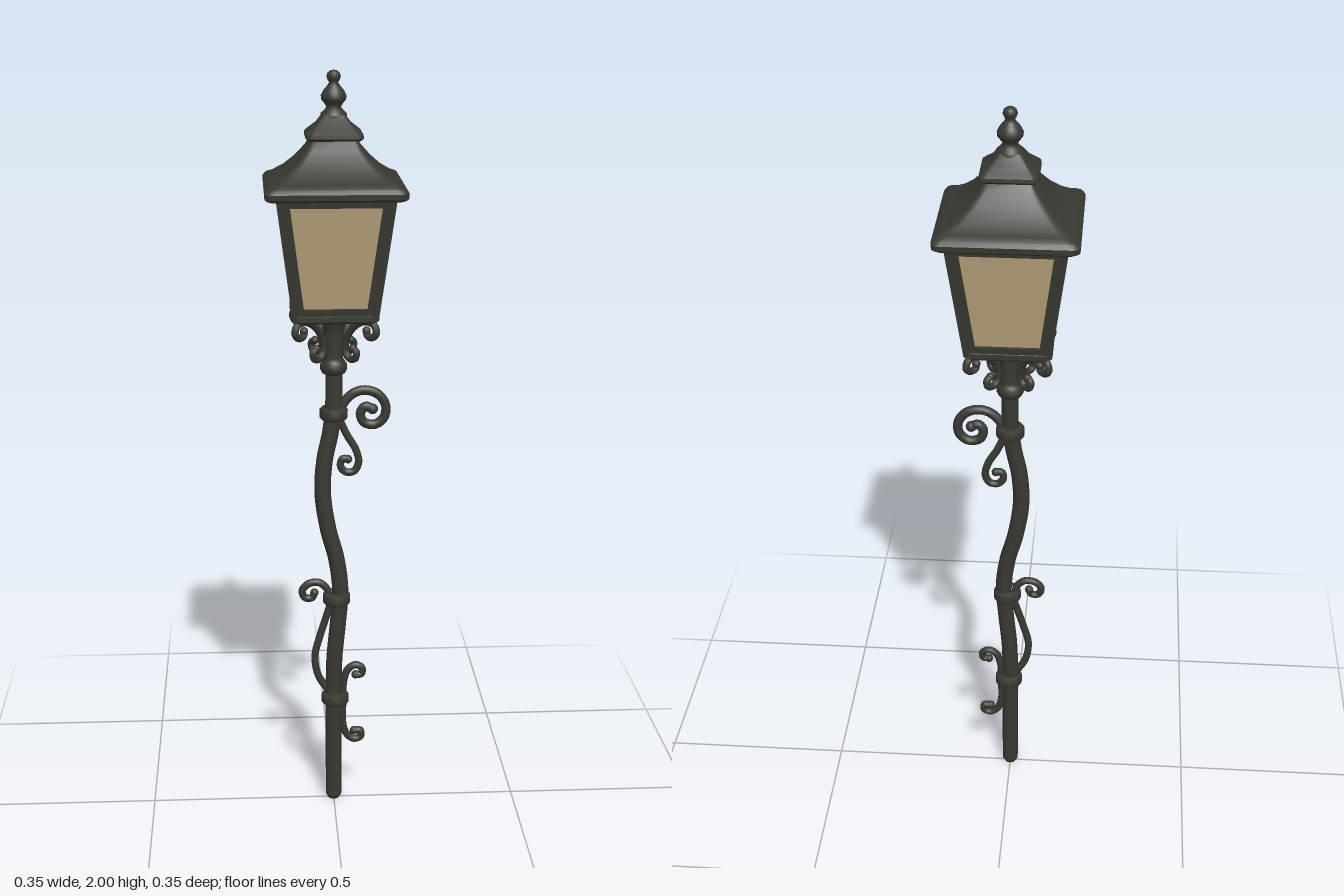
import * as THREE from 'three';
import { toCreasedNormals } from 'three/addons/utils/BufferGeometryUtils.js';

const iron = new THREE.MeshStandardMaterial({ color: 0x383931 });
iron.name = 'dark iron';
const glass = new THREE.MeshStandardMaterial({ color: 0xb59f79 });
glass.name = 'amber glass';

function add(parent, name, geometry, material = iron) {
  const mesh = new THREE.Mesh(geometry, material);
  mesh.name = name;
  parent.add(mesh);
  return mesh;
}

// Rounded-square cross-sections stacked along a [half width, y] profile
function squareLoft(profile) {
  const pos = [], index = [], steps = 4, n = 4 * (steps + 1);
  for (const [h, y] of profile) {
    const r = Math.min(0.02, h * 0.22);
    for (let k = 0; k < 4; k++) {
      const mid = (k + 0.5) * Math.PI / 2;
      for (let s = 0; s <= steps; s++) {
        const a = (k + s / steps) * Math.PI / 2;
        pos.push(Math.sign(Math.cos(mid)) * (h - r) + Math.cos(a) * r, y,
          Math.sign(Math.sin(mid)) * (h - r) + Math.sin(a) * r);
      }
    }
  }
  for (let j = 0; j < profile.length - 1; j++) {
    for (let i = 0; i < n; i++) {
      const a = j * n + i, b = j * n + (i + 1) % n;
      index.push(a, a + n, b, b, a + n, b + n);
    }
  }
  const g = new THREE.BufferGeometry();
  g.setAttribute('position', new THREE.Float32BufferAttribute(pos, 3));
  g.setIndex(index);
  return toCreasedNormals(g, 0.6);
}

function lathe(points, segments = 28) {
  return new THREE.LatheGeometry(points.map(([r, y]) => new THREE.Vector2(r, y)), segments);
}

// Round bar through flat points, with ball ends
function scroll(parent, name, points, radius) {
  const group = new THREE.Group();
  group.name = name;
  const path = points.map(([x, y]) => new THREE.Vector3(x, y, 0));
  const curve = new THREE.CatmullRomCurve3(path, false, 'centripetal');
  add(group, 'scrollBar', new THREE.TubeGeometry(curve, points.length * 8, radius, 10));
  for (const end of [path[0], path[path.length - 1]]) {
    add(group, 'scrollEnd', new THREE.SphereGeometry(radius * 1.15, 12, 8)).position.copy(end);
  }
  parent.add(group);
  return group;
}

export function createModel() {
  const model = new THREE.Group();
  model.name = 'streetLamp';

  // Bent pole
  const polePath = [[0, 0.012], [0, 0.15], [0, 0.3], [0.002, 0.42], [0.012, 0.53], [0.018, 0.62], [0.008, 0.71],
    [-0.015, 0.8], [-0.029, 0.9], [-0.024, 0.99], [-0.008, 1.07], [0, 1.15], [0, 1.27]];
  const poleCurve = new THREE.CatmullRomCurve3(polePath.map(([x, y]) => new THREE.Vector3(x, y, 0)));
  add(model, 'pole', new THREE.TubeGeometry(poleCurve, 90, 0.022, 16));
  add(model, 'poleFoot', lathe([[0, 0], [0.015, 0], [0.022, 0.012]], 16));

  // Collars around the pole
  for (const [x, y] of [[0.004, 0.305], [0.008, 0.6], [0, 1.12]]) {
    const collar = add(model, 'collar', lathe([[0.02, -0.016], [0.032, -0.016], [0.037, -0.01],
      [0.037, 0.01], [0.032, 0.016], [0.02, 0.016]]));
    collar.position.set(x, y, 0);
  }

  // Neck under the lantern
  add(model, 'neck', lathe([[0.02, 1.225], [0.03, 1.23], [0.035, 1.24], [0.035, 1.253], [0.029, 1.262],
    [0.024, 1.27], [0.027, 1.29], [0.026, 1.33], [0.03, 1.36], [0.045, 1.385], [0, 1.387]]));

  // Scrollwork along the pole
  scroll(model, 'upperLargeScroll', [[0.012, 1.12], [0.03, 1.153], [0.055, 1.175], [0.085, 1.181], [0.117, 1.169],
    [0.136, 1.14], [0.132, 1.107], [0.108, 1.088], [0.08, 1.094], [0.07, 1.118], [0.083, 1.137], [0.102, 1.13]], 0.0125);
  scroll(model, 'upperHangingScroll', [[0.012, 1.11], [0.035, 1.06], [0.058, 1.02], [0.066, 0.985],
    [0.054, 0.96], [0.032, 0.958], [0.018, 0.975], [0.024, 0.994], [0.038, 0.993]], 0.01);
  scroll(model, 'middleScroll', [[-0.012, 0.6], [-0.018, 0.626], [-0.04, 0.645], [-0.068, 0.642],
    [-0.085, 0.622], [-0.077, 0.602], [-0.058, 0.602], [-0.052, 0.616]], 0.01);
  scroll(model, 'middleBow', [[-0.006, 0.59], [-0.02, 0.545], [-0.037, 0.49], [-0.051, 0.43],
    [-0.043, 0.375], [-0.02, 0.335], [0, 0.31]], 0.01);
  scroll(model, 'lowerRisingScroll', [[0.026, 0.3], [0.028, 0.355], [0.039, 0.388], [0.06, 0.401],
    [0.078, 0.391], [0.076, 0.374], [0.06, 0.372]], 0.01);
  scroll(model, 'lowerHangingScroll', [[0.026, 0.31], [0.026, 0.225], [0.036, 0.193], [0.056, 0.178],
    [0.075, 0.185], [0.074, 0.203], [0.056, 0.203]], 0.01);

  // Scrolled brackets towards the four lantern corners
  for (let i = 0; i < 4; i++) {
    const bracket = scroll(model, 'cornerBracket', [[0.112, 1.359], [0.115, 1.346], [0.132, 1.344], [0.145, 1.358],
      [0.138, 1.376], [0.115, 1.382], [0.085, 1.373], [0.058, 1.35], [0.042, 1.318], [0.042, 1.29],
      [0.056, 1.276], [0.074, 1.28], [0.078, 1.297], [0.066, 1.305]], 0.0095);
    bracket.rotation.y = Math.PI / 4 + i * Math.PI / 2;
  }

  // Lantern floor
  add(model, 'lanternFloor', squareLoft([[0, 1.382], [0.104, 1.382], [0.111, 1.388],
    [0.111, 1.402], [0.104, 1.408], [0, 1.408]]));

  // Four sloping sides: frame with one pane each
  const low = 0.108, high = 0.15, y0 = 1.39, rise = 0.32;
  const slant = Math.hypot(rise, high - low);
  const trapezoid = (b, t, y1, y2) => [[-b, y1], [b, y1], [t, y2], [-t, y2]].map(([x, y]) => new THREE.Vector2(x, y));
  const opening = trapezoid(0.08, 0.114, 0.03, slant - 0.03);
  const frameShape = new THREE.Shape(trapezoid(low, high, 0, slant));
  frameShape.holes.push(new THREE.Path(opening));
  for (let i = 0; i < 4; i++) {
    const side = new THREE.Group();
    side.name = 'lanternSide';
    side.rotation.y = i * Math.PI / 2;
    const panel = new THREE.Group();
    panel.name = 'sidePanel';
    panel.position.set(0, y0, low);
    panel.rotation.x = Math.atan2(high - low, rise);
    const frame = new THREE.ExtrudeGeometry(frameShape, { depth: 0.02, bevelEnabled: false });
    add(panel, 'windowFrame', frame.translate(0, 0, -0.02));
    const pane = new THREE.ExtrudeGeometry(new THREE.Shape(opening), { depth: 0.004, bevelEnabled: false });
    add(panel, 'windowPane', pane.translate(0, 0, -0.012), glass);
    side.add(panel);
    model.add(side);
  }

  // Roof and its small upper cap
  add(model, 'roof', squareLoft([[0, 1.698], [0.168, 1.698], [0.176, 1.704], [0.177, 1.718], [0.17, 1.729],
    [0.152, 1.737], [0.125, 1.755], [0.096, 1.782], [0.072, 1.81], [0.055, 1.836], [0, 1.836]]));
  add(model, 'roofCap', squareLoft([[0, 1.832], [0.066, 1.832], [0.072, 1.838], [0.071, 1.847],
    [0.062, 1.855], [0.044, 1.87], [0.028, 1.892], [0, 1.893]]));

  // Finial
  add(model, 'finial', lathe([[0.033, 1.885], [0.033, 1.894], [0.024, 1.902], [0.018, 1.91], [0.023, 1.918],
    [0.031, 1.928], [0.032, 1.938], [0.026, 1.95], [0.016, 1.962], [0.011, 1.969], [0.015, 1.975],
    [0.018, 1.984], [0.015, 1.993], [0.008, 1.998], [0, 2]]));

  return model;
}
